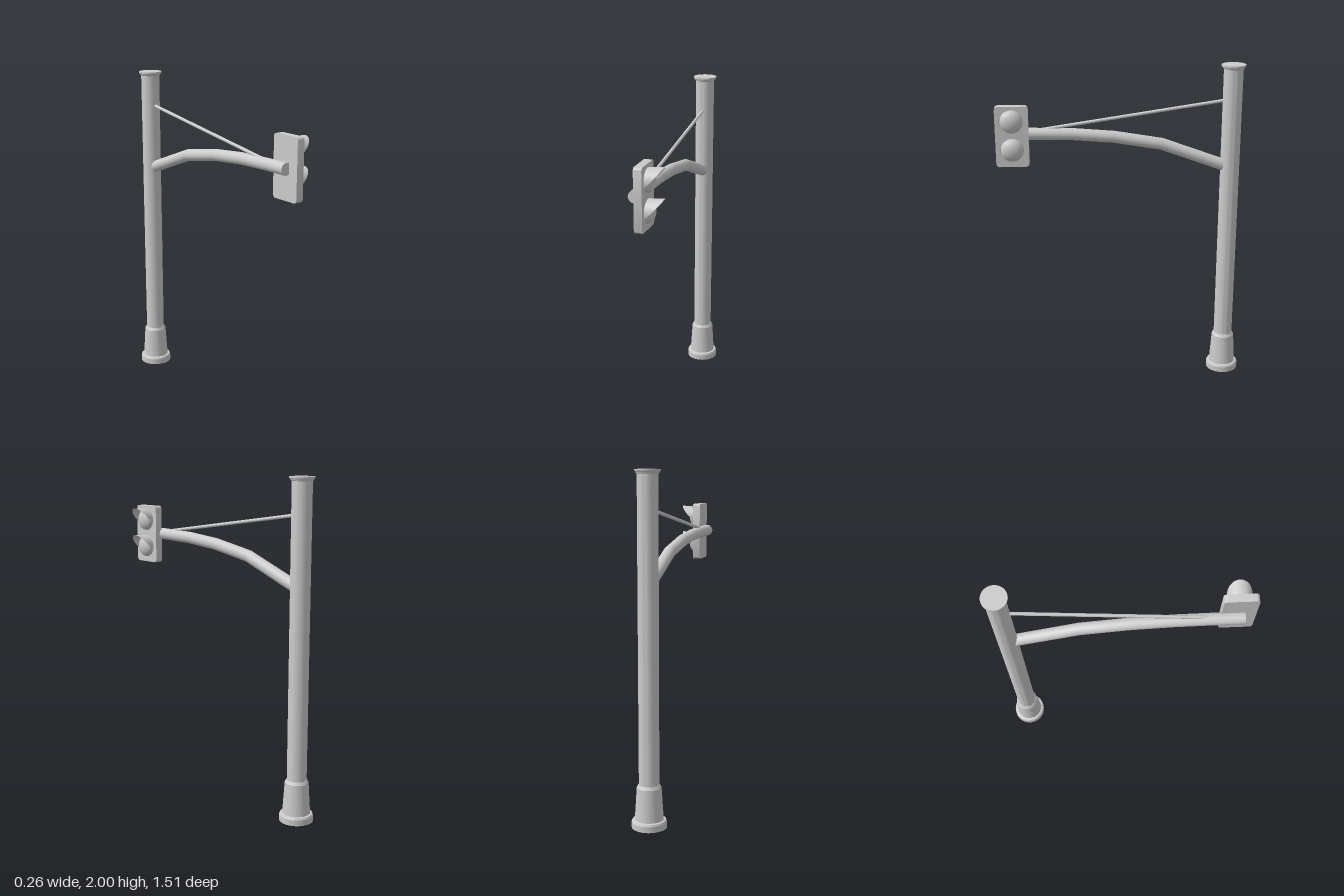
import * as THREE from 'three';
import { toCreasedNormals } from 'three/addons/utils/BufferGeometryUtils.js';
import { ParametricGeometry } from 'three/addons/geometries/ParametricGeometry.js';

const POLE_X = -0.031, POLE_Z = -0.655;
const grey = new THREE.MeshStandardMaterial({ color: 0xcccccc });
const greyThin = new THREE.MeshStandardMaterial({ color: 0xcccccc, side: THREE.DoubleSide });

function addMesh(parent, name, geometry, material = grey) {
  const mesh = new THREE.Mesh(geometry, material);
  mesh.name = name;
  parent.add(mesh);
  return mesh;
}

// Turned part standing on the pole axis; profile is [radius, height] pairs
function turned(parent, name, profile) {
  const points = profile.map(([r, y]) => new THREE.Vector2(r, y));
  const mesh = addMesh(parent, name, toCreasedNormals(new THREE.LatheGeometry(points, 40), 0.45));
  mesh.position.set(POLE_X, 0, POLE_Z);
}

// Straight round bar between two points
function bar(parent, name, a, b, radius) {
  const dir = b.clone().sub(a);
  const mesh = addMesh(parent, name, new THREE.CylinderGeometry(radius, radius, dir.length(), 16));
  mesh.position.copy(a).add(b).multiplyScalar(0.5);
  mesh.quaternion.setFromUnitVectors(new THREE.Vector3(0, 1, 0), dir.normalize());
}

function roundedRect(w, h, r) {
  const s = new THREE.Shape();
  const x = w / 2 - r, y = h / 2 - r;
  s.absarc(x, y, r, 0, Math.PI / 2);
  s.absarc(-x, y, r, Math.PI / 2, Math.PI);
  s.absarc(-x, -y, r, Math.PI, Math.PI * 1.5);
  s.absarc(x, -y, r, Math.PI * 1.5, Math.PI * 2);
  s.closePath();
  return s;
}

// Hood wrapped round the lens, longest at the top and tapering to nothing below
function visorGeometry() {
  const spread = 1.95, length = 0.093;
  return new ParametricGeometry((u, v, target) => {
    const a = (u * 2 - 1) * spread;
    const x = v * length * Math.cos(a / spread * Math.PI / 2);
    const r = 0.069 + 0.006 * x / length;
    target.set(x, r * Math.cos(a), r * Math.sin(a));
  }, 40, 6);
}

function signalHead() {
  const head = new THREE.Group();
  head.name = 'signalHead';
  head.position.set(-0.012, 1.598, 0.657);

  // Backing box, with its face towards +x
  const box = new THREE.ExtrudeGeometry(roundedRect(0.196, 0.364, 0.02),
    { depth: 0.047, bevelEnabled: false, curveSegments: 6 });
  box.rotateY(Math.PI / 2);
  addMesh(head, 'housing', toCreasedNormals(box, 0.6));

  // Two domed lenses, each under a visor
  [['upper', 0.092], ['lower', -0.08]].forEach(([place, y]) => {
    const dome = new THREE.SphereGeometry(0.068, 32, 10, 0, Math.PI * 2, 0, Math.PI / 2);
    dome.scale(1, 0.62, 1);
    dome.rotateZ(-Math.PI / 2);
    addMesh(head, place + 'Lens', dome).position.set(0.047, y, 0);
    addMesh(head, place + 'Visor', visorGeometry(), greyThin).position.set(0.047, y, 0);
  });
  return head;
}

export function createModel() {
  const model = new THREE.Group();
  model.name = 'trafficSignal';

  // Pole with its stepped foot and flared cap
  turned(model, 'base', [[0, 0], [0.1, 0], [0.1, 0.035], [0.095, 0.045], [0.082, 0.048],
    [0.07, 0.235], [0.06, 0.252], [0, 0.252]]);
  turned(model, 'pole', [[0.058, 0.2], [0.058, 1.99]]);
  turned(model, 'cap', [[0.057, 1.974], [0.063, 1.977], [0.067, 1.987], [0.072, 1.99],
    [0.072, 2], [0, 2]]);

  // Bent arm: straight lengths joined at the given points
  const path = [[1.372, -0.655], [1.525, -0.235], [1.573, 0.05], [1.594, 0.3], [1.6, 0.55], [1.6, 0.69]]
    .map(([y, z]) => new THREE.Vector3(POLE_X, y, z));
  const curve = new THREE.CatmullRomCurve3(path);
  curve.getPointAt = (t, target) => curve.getPoint(t, target);
  curve.getTangentAt = (t, target) => curve.getTangent(t, target);
  addMesh(model, 'arm', new THREE.TubeGeometry(curve, path.length - 1, 0.036, 24));
  addMesh(model, 'armEnd', new THREE.CircleGeometry(0.036, 24)).position.copy(path[path.length - 1]);

  // Tie rod bracing the arm from higher up the pole
  bar(model, 'tieRod', new THREE.Vector3(POLE_X, 1.79, -0.64), new THREE.Vector3(POLE_X, 1.612, 0.57), 0.01);

  model.add(signalHead());
  return model;
}
